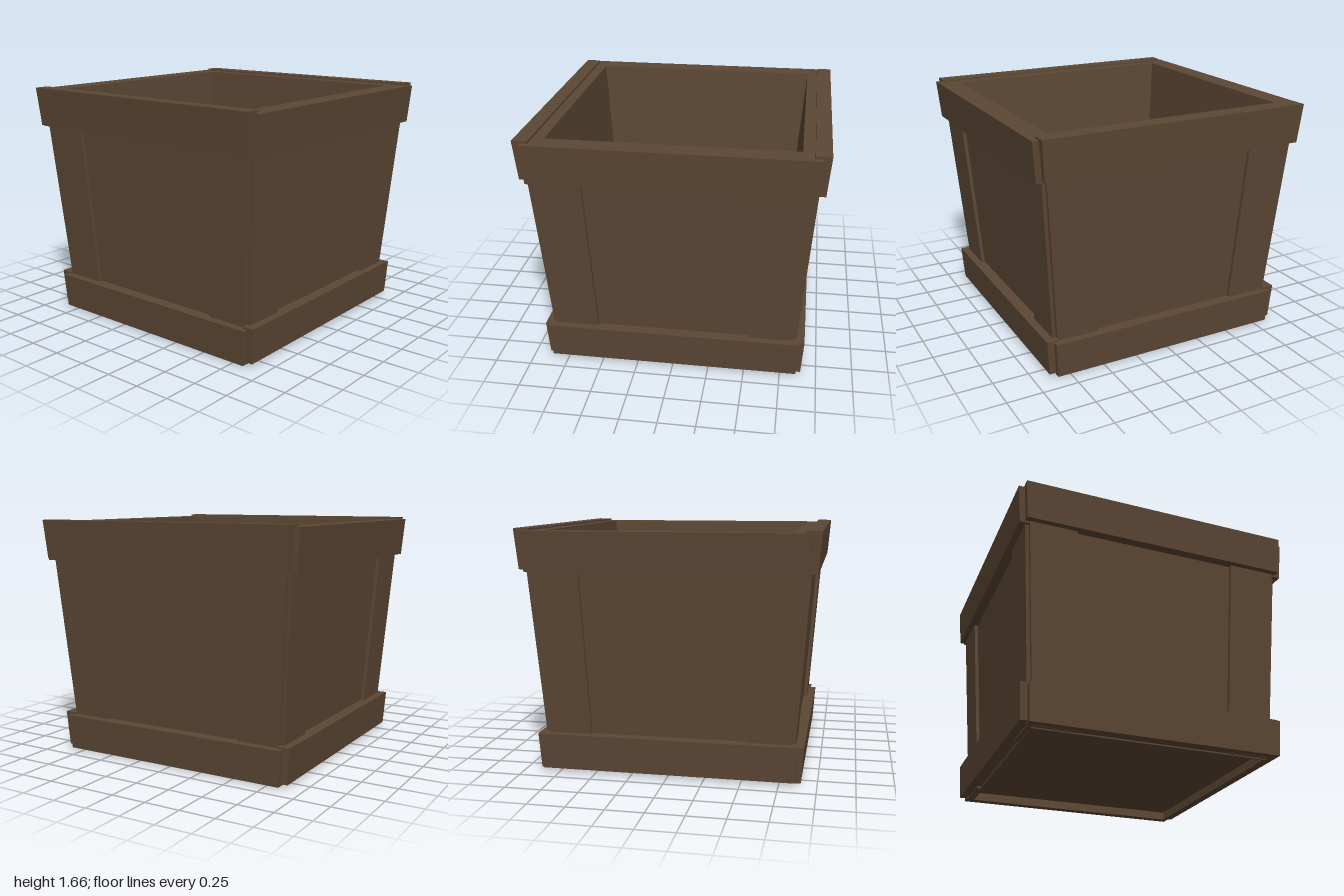
import * as THREE from 'three';

// Half width of the tapered body at height y
const bodyHalf = (y) => 0.81 + 0.0727 * y;

// Slab between two heights: each end is [u0, u1, w0, w1], u along the side and w outward
function slab(y0, y1, bottom, top) {
  const geo = new THREE.BoxGeometry(1, 1, 1);
  const p = geo.attributes.position;
  for (let i = 0; i < p.count; i++) {
    const up = p.getY(i) > 0;
    const e = up ? top : bottom;
    p.setXYZ(i, p.getX(i) < 0 ? e[0] : e[1], up ? y1 : y0, p.getZ(i) < 0 ? e[2] : e[3]);
  }
  geo.computeVertexNormals();
  return geo;
}

// Skin through rectangular rings [halfX, halfZ, y]
function ringShell(rings) {
  const signs = [[-1, 1], [1, 1], [1, -1], [-1, -1]];
  const pos = [];
  for (let i = 0; i < rings.length - 1; i++) {
    for (let k = 0; k < 4; k++) {
      const corner = (r, s) => [r[0] * s[0], r[2], r[1] * s[1]];
      const s0 = signs[k], s1 = signs[(k + 1) % 4];
      const a = corner(rings[i], s0), b = corner(rings[i], s1);
      const c = corner(rings[i + 1], s1), d = corner(rings[i + 1], s0);
      pos.push(...a, ...b, ...c, ...a, ...c, ...d);
    }
  }
  const geo = new THREE.BufferGeometry();
  geo.setAttribute('position', new THREE.Float32BufferAttribute(pos, 3));
  geo.computeVertexNormals();
  return geo;
}

export function createModel() {
  const group = new THREE.Group();
  group.name = 'planterBox';
  const wood = new THREE.MeshStandardMaterial({ color: 0x5c4734 });
  wood.name = 'brownWood';

  const add = (parent, name, geo) => {
    const mesh = new THREE.Mesh(geo, wood);
    mesh.name = name;
    parent.add(mesh);
  };

  // Hollow body: recessed underside, tapered walls, rim, inner walls and raised floor
  add(group, 'body', ringShell([
    [0, 0, 0.06],
    [0.8, 0.8, 0.06],
    [0.795, 0.795, 0],
    [bodyHalf(0), bodyHalf(0), 0],
    [bodyHalf(1.65), bodyHalf(1.65), 1.65],
    [0.82, 0.85, 1.65],
    [0.74, 0.765, 0.6],
    [0, 0, 0.6],
  ]));

  const sides = ['front', 'left', 'back', 'right'];
  sides.forEach((name, i) => {
    const side = new THREE.Group();
    side.name = name + 'Side';
    side.rotation.y = i * Math.PI / 2;
    group.add(side);
    const across = i % 2 === 1;

    // Corner boards standing proud of the centre panel
    const boardEnd = (y, s) => {
      const inner = 0.518 + 0.0428 * y, outer = bodyHalf(y);
      const u = s > 0 ? [inner, outer] : [-outer, -inner];
      return [...u, bodyHalf(y) - 0.005, bodyHalf(y) + 0.025];
    };
    for (const s of [-1, 1]) {
      add(side, 'cornerBoard', slab(0.008, 1.6, boardEnd(0.008, s), boardEnd(1.6, s)));
    }

    // Top trim; the left and right pieces sit slightly higher
    const t0 = across ? 1.395 : 1.38, t1 = across ? 1.665 : 1.65;
    const tb = across ? 0.94 : 0.93, tt = across ? 0.96 : 0.945;
    add(side, 'topTrim', slab(t0, t1,
      [-tb, tb, across ? 0.88 : 0.91, 0.977], [-tt, tt, across ? 0.897 : 0.93, 1]));

    // Bottom trim; the left and right pieces sit slightly lower
    const b0 = across ? 0.01 : 0.024, b1 = across ? 0.256 : 0.27;
    const bb = across ? 0.845 : 0.86, bt = across ? 0.86 : 0.873;
    add(side, 'bottomTrim', slab(b0, b1,
      [-bb, bb, bodyHalf(b0) - 0.002, 0.893], [-bt, bt, bodyHalf(b1) - 0.002, 0.91]));
  });

  return group;
}
